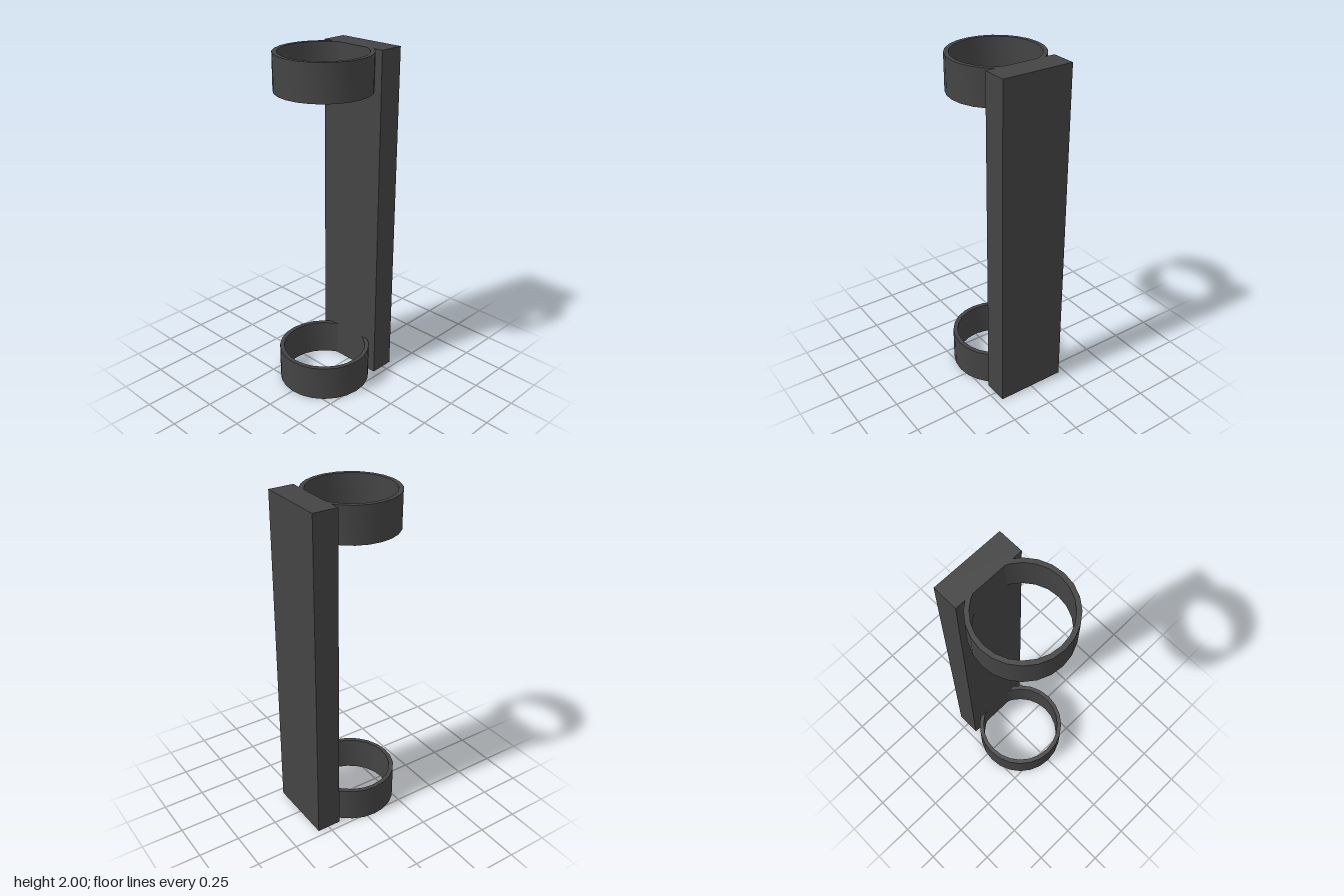
import * as THREE from 'three';
import { toCreasedNormals } from 'three/addons/utils/BufferGeometryUtils.js';

export function createModel() {
  const group = new THREE.Group();
  group.name = 'ringBracket';
  const darkGrey = new THREE.MeshStandardMaterial({ color: 0x444444 });
  darkGrey.name = 'darkGrey';

  // Upright bar
  const bar = new THREE.Mesh(new THREE.BoxGeometry(0.148, 2, 0.424), darkGrey);
  bar.name = 'bar';
  bar.position.set(0.246, 1, 0);
  group.add(bar);

  // Flat band rings at both ends, sunk into the bar
  const inner = 0.245, outer = 0.271, height = 0.21;
  const profile = [[inner, 0], [outer, 0], [outer, height], [inner, height], [inner, 0]]
    .map(([r, y]) => new THREE.Vector2(r, y));
  const ringGeometry = toCreasedNormals(new THREE.LatheGeometry(profile, 24), Math.PI / 6);
  for (const [name, y] of [['lowerRing', 0], ['upperRing', 2 - height]]) {
    const ring = new THREE.Mesh(ringGeometry, darkGrey);
    ring.name = name;
    ring.position.set(-0.049, y, 0);
    group.add(ring);
  }
  return group;
}
